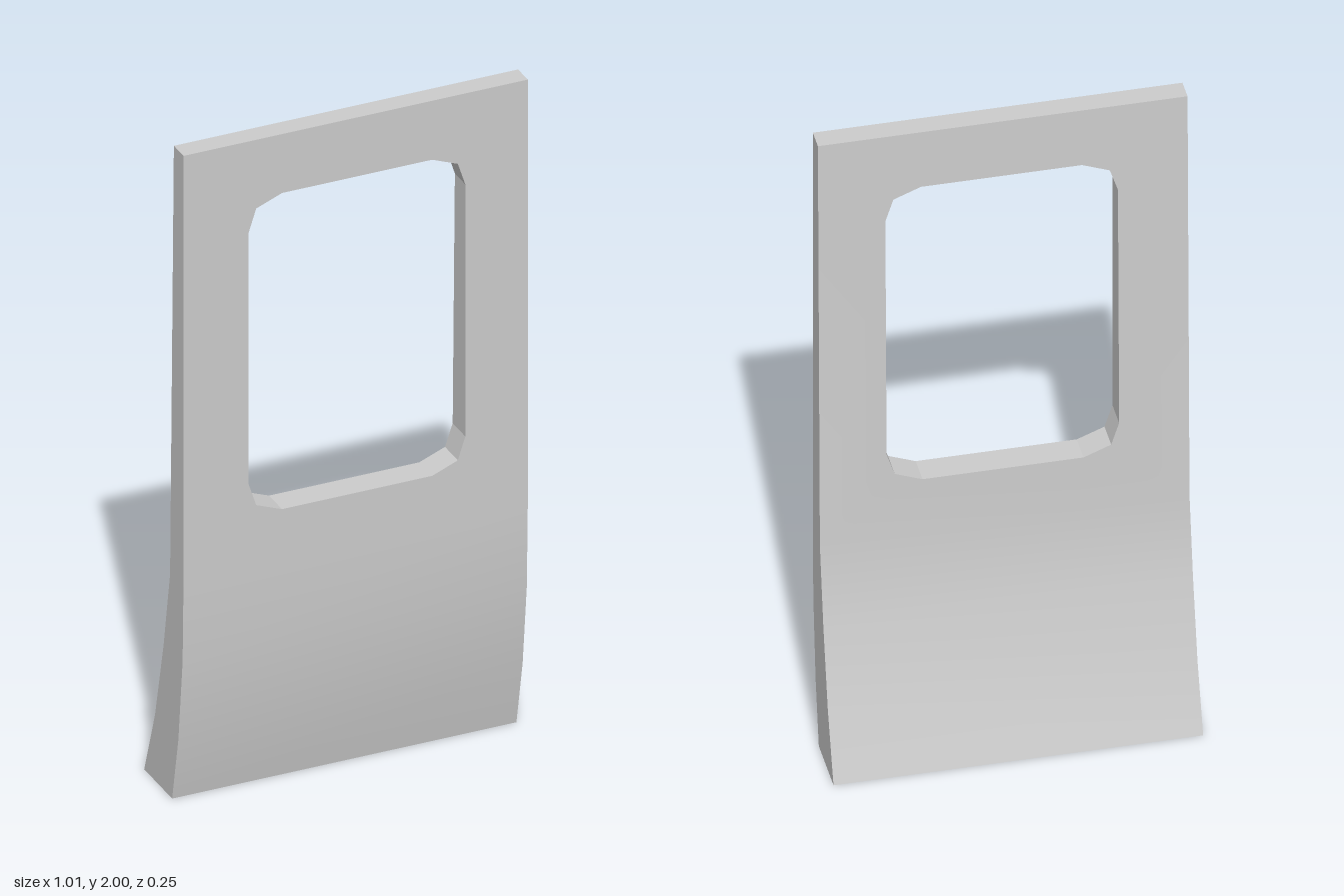
import * as THREE from 'three';
import { mergeGeometries, toCreasedNormals } from 'three/addons/utils/BufferGeometryUtils.js';

const W = 0.507; // half width of the door
const CREASE = 0.3;

// Side profiles as [y, z], from the foot to the top; the second last point starts the flat pane
const FRONT = [[0, 0.053], [0.2, 0.093], [0.45, 0.12], [0.7, 0.126], [2, 0.126]];
const BACK = [[0, -0.126], [0.2, -0.057], [0.44, -0.002], [0.68, 0.04], [2, 0.064]];

// Window outline, clockwise seen from the front: one corner mirrored to four
const corner = [[0.221, 0.483], [0.297, 0.453], [0.319, 0.385]];
const place = (sx, sy) => corner.map(([x, y]) => new THREE.Vector2(0.004 + sx * x, 1.337 + sy * y));
const WINDOW = [
  ...place(1, 1), ...place(1, -1).reverse(),
  ...place(-1, -1), ...place(-1, 1).reverse(),
];

// Depth of the flat upper pane at height y
function paneZ(profile, y) {
  const [[y0, z0], [y1, z1]] = profile.slice(-2);
  return z0 + (z1 - z0) * (y - y0) / (y1 - y0);
}

// One face of the door: flat pane with the window, and the curved skirt below
function skin(profile, facesBack) {
  const rows = profile.slice(0, -1).reverse();
  const seam = rows[0][0];
  const shape = new THREE.Shape([[-W, seam], [W, seam], [W, 2], [-W, 2]].map(p => new THREE.Vector2(...p)));
  shape.holes.push(new THREE.Path(WINDOW));
  const pane = new THREE.ShapeGeometry(shape);
  const pp = pane.attributes.position;
  for (let i = 0; i < pp.count; i++) pp.setZ(i, paneZ(profile, pp.getY(i)));

  const skirt = new THREE.PlaneGeometry(2 * W, 1, 1, rows.length - 1);
  const sp = skirt.attributes.position;
  for (let i = 0; i < sp.count; i++) {
    const [y, z] = rows[Math.floor(i / 2)];
    sp.setXYZ(i, i % 2 ? W : -W, y, z);
  }
  const geo = mergeGeometries([pane, skirt]);
  if (facesBack) geo.index.array.reverse();
  return toCreasedNormals(geo, CREASE);
}

// Closed band of quads joining a front loop to a back loop
function band(front, back) {
  const n = front.length, index = [];
  for (let i = 0; i < n; i++) {
    const j = (i + 1) % n;
    index.push(i, n + i, n + j, i, n + j, j);
  }
  const geo = new THREE.BufferGeometry();
  geo.setAttribute('position', new THREE.Float32BufferAttribute([...front, ...back].flat(), 3));
  geo.setIndex(index);
  return toCreasedNormals(geo, CREASE);
}

// Loop up one side of a profile and down the other
const rimLoop = profile => [
  ...profile.map(([y, z]) => [W, y, z]),
  ...profile.map(([y, z]) => [-W, y, z]).reverse(),
];
const windowLoop = profile => WINDOW.map(p => [p.x, p.y, paneZ(profile, p.y)]);

export function createModel() {
  const door = new THREE.Group();
  door.name = 'door';
  const material = new THREE.MeshStandardMaterial({ color: 0xcccccc });
  const parts = {
    frontPanel: skin(FRONT, false),
    backPanel: skin(BACK, true),
    outerEdge: band(rimLoop(FRONT), rimLoop(BACK)),
    windowEdge: band(windowLoop(FRONT), windowLoop(BACK)),
  };
  for (const [name, geometry] of Object.entries(parts)) {
    const mesh = new THREE.Mesh(geometry, material);
    mesh.name = name;
    door.add(mesh);
  }
  return door;
}
